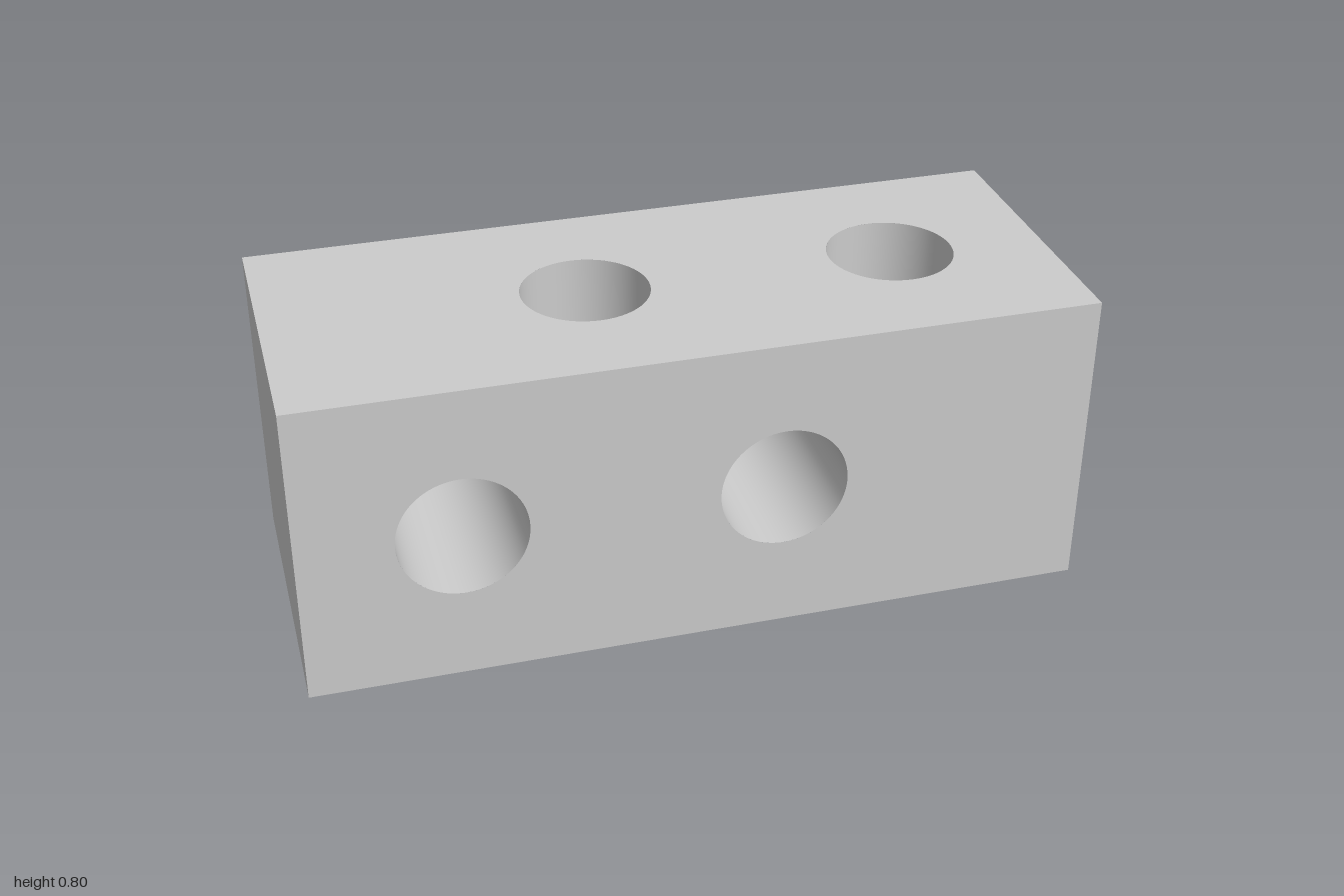
import * as THREE from 'three';

const LENGTH = 2, SIDE = 0.8, RADIUS = 0.1625, SEGMENTS = 64;
const FRONT_HOLES = [-0.6, 0.2]; // x of the bores running front to back
const TOP_HOLES = [-0.2, 0.6];   // x of the bores running top to bottom

// Long side panel, facing +z, pierced at the given x positions
function panelGeometry(holes) {
  const w = LENGTH / 2, h = SIDE / 2;
  const shape = new THREE.Shape([
    new THREE.Vector2(-w, -h), new THREE.Vector2(w, -h),
    new THREE.Vector2(w, h), new THREE.Vector2(-w, h),
  ]);
  for (const x of holes) {
    shape.holes.push(new THREE.Path().absarc(x, 0, RADIUS, 0, Math.PI * 2, true));
  }
  return new THREE.ShapeGeometry(shape, SEGMENTS).translate(0, 0, h);
}

// Bore wall along y; the descending profile makes it face inward
function boreGeometry() {
  return new THREE.LatheGeometry([
    new THREE.Vector2(RADIUS, SIDE / 2), new THREE.Vector2(RADIUS, -SIDE / 2),
  ], SEGMENTS);
}

export function createModel() {
  const model = new THREE.Group();
  model.name = 'drilledBeam';
  const material = new THREE.MeshStandardMaterial({ color: 0xcccccc });
  const add = (name, geometry) => {
    const mesh = new THREE.Mesh(geometry.translate(0, SIDE / 2, 0), material);
    mesh.name = name;
    model.add(mesh);
  };

  // Four long sides, turned about the beam's axis
  ['frontSide', 'bottomSide', 'backSide', 'topSide'].forEach((name, i) => {
    const holes = i % 2 ? TOP_HOLES : FRONT_HOLES;
    add(name, panelGeometry(holes).rotateX(i * Math.PI / 2));
  });

  // Square ends
  for (const [name, s] of [['leftEnd', 1], ['rightEnd', -1]]) {
    add(name, new THREE.PlaneGeometry(SIDE, SIDE)
      .rotateY(s * Math.PI / 2).translate(s * LENGTH / 2, 0, 0));
  }

  // Through bores
  for (const x of FRONT_HOLES) add('frontBore', boreGeometry().rotateX(Math.PI / 2).translate(x, 0, 0));
  for (const x of TOP_HOLES) add('topBore', boreGeometry().translate(x, 0, 0));

  return model;
}
